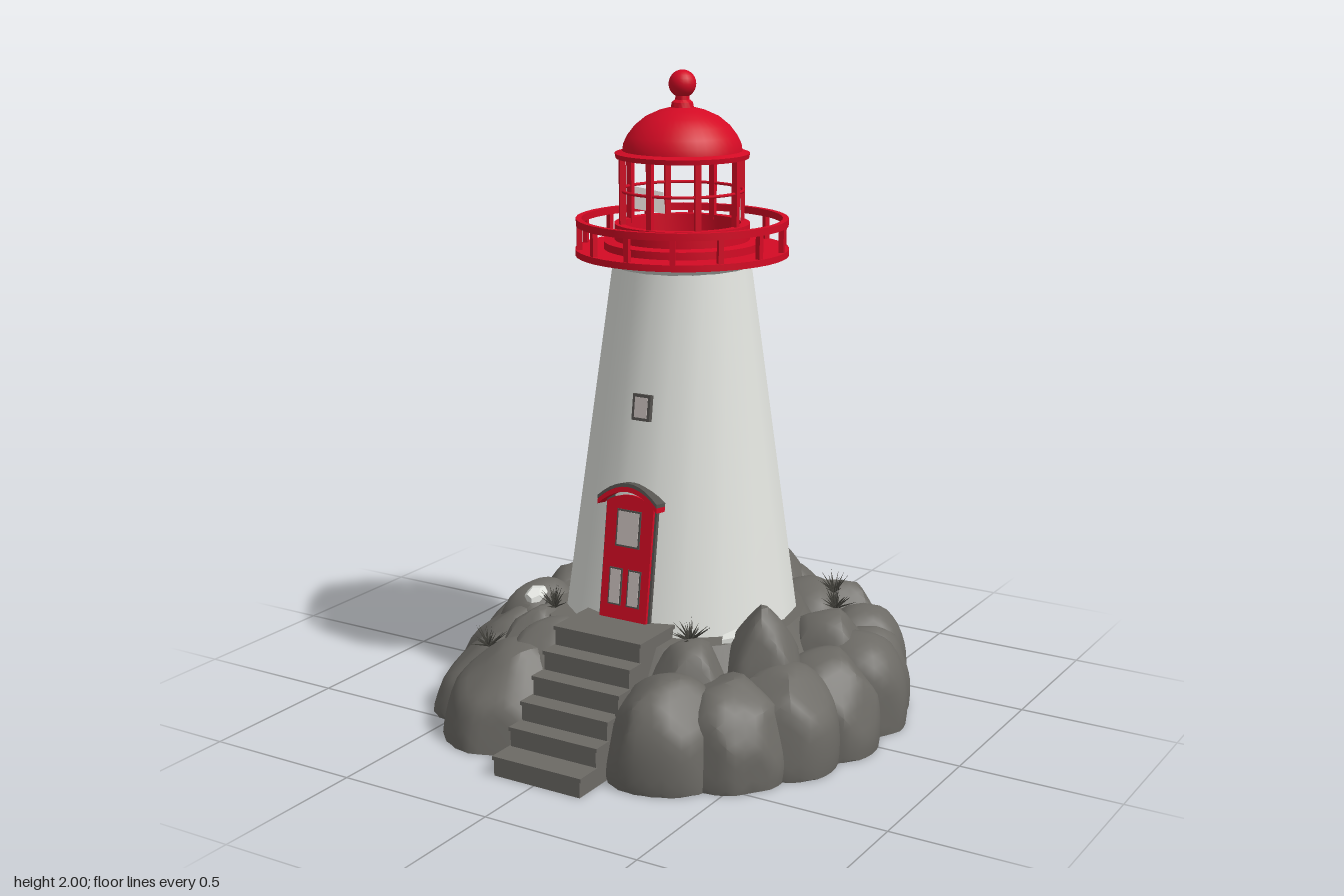
import * as THREE from 'three';
import { mergeGeometries, mergeVertices, toCreasedNormals } from 'three/addons/utils/BufferGeometryUtils.js';

const mat = (name, color, side = THREE.FrontSide) => {
  const m = new THREE.MeshStandardMaterial({ color, side });
  m.name = name;
  return m;
};

function seeded(seed) {
  let s = seed;
  return () => ((s = (s * 16807) % 2147483647) / 2147483647);
}

export function createModel() {
  const model = new THREE.Group();
  model.name = 'lighthouse';
  const white = mat('whitewash', 0xe2e4df);
  const red = mat('redPaint', 0xd40a24);
  const stone = mat('stone', 0x6c6a65);
  const ceilingGrey = mat('ceilingGrey', 0xa5a39e);
  const frameGrey = mat('frameGrey', 0x55534f);
  const pane = mat('paleGlass', 0xc9c0bd, THREE.DoubleSide);
  const grass = mat('dryGrass', 0x43423c, THREE.DoubleSide);

  const add = (parent, name, geo, material, x = 0, y = 0, z = 0) => {
    const mesh = new THREE.Mesh(geo, material);
    mesh.name = name;
    mesh.position.set(x, y, z);
    parent.add(mesh);
    return mesh;
  };
  const lathe = (pts, seg = 36) =>
    toCreasedNormals(new THREE.LatheGeometry(pts.map(p => new THREE.Vector2(p[0], p[1])), seg), 0.6);

  // Chiselled boulder: rounded blob cut by random planes, flattened at the ground
  const rand = seeded(4211);
  function boulder(x, z, r, top, base = 0.06) {
    let g = new THREE.IcosahedronGeometry(1, 6);
    g.deleteAttribute('uv');
    g.deleteAttribute('normal');
    g = mergeVertices(g);
    const cuts = Array.from({ length: 9 }, () =>
      new THREE.Vector3(rand() * 2 - 1, rand() * 1.2 - 0.1, rand() * 2 - 1).normalize());
    const p = g.attributes.position, v = new THREE.Vector3();
    const turn = rand() * 6;
    // Outer rocks on the -x side lean inward as they rise
    const lean = Math.hypot(x, z) > 0.46 ? Math.max(0, -x) : 0;
    for (let i = 0; i < p.count; i++) {
      v.fromBufferAttribute(p, i);
      const h = Math.hypot(v.x, v.z);
      v.divideScalar(Math.pow(h ** 2.4 + Math.abs(v.y) ** 2.4, 1 / 2.4));
      v.multiplyScalar(1 + 0.03 * Math.sin(4 * v.x + turn) * Math.cos(3 * v.z + turn));
      for (const n of cuts) {
        const over = v.dot(n) - 0.93;
        if (over > 0) v.addScaledVector(n, -over * 0.85);
      }
      const y = Math.max(0, base + v.y * (top - base));
      const pull = 1 - lean * y;
      p.setXYZ(i, (x + v.x * r) * pull, y, (z + v.z * r) * pull);
    }
    return toCreasedNormals(g, 0.6);
  }

  // Rocky island: [x, z, radius, top]
  const island = new THREE.Group();
  island.name = 'island';
  model.add(island);
  add(island, 'rockCore', new THREE.CylinderGeometry(0.41, 0.6, 0.32, 28), stone, 0, 0.16, -0.03);
  const rocks = [
    [-0.12, -0.61, 0.16, 0.30], [0.11, -0.61, 0.16, 0.29], [-0.34, -0.52, 0.17, 0.30],
    [0.33, -0.52, 0.17, 0.31], [0.46, -0.43, 0.16, 0.27], [-0.40, -0.39, 0.16, 0.28],
    [-0.57, -0.18, 0.165, 0.28], [-0.575, 0.02, 0.175, 0.29], [-0.51, 0.20, 0.18, 0.30],
    [-0.47, 0.36, 0.165, 0.24], [-0.30, 0.49, 0.19, 0.29], [-0.20, 0.36, 0.16, 0.345],
    [0.28, 0.49, 0.18, 0.30], [0.43, 0.38, 0.18, 0.29], [0.52, 0.22, 0.18, 0.29],
    [0.575, 0.04, 0.17, 0.29], [0.575, -0.16, 0.17, 0.29], [0.55, -0.28, 0.15, 0.27],
    [0.06, -0.53, 0.17, 0.39], [-0.28, -0.39, 0.18, 0.36], [0.28, -0.40, 0.17, 0.335],
    [-0.43, -0.12, 0.17, 0.345], [-0.42, 0.10, 0.16, 0.355], [0.47, -0.17, 0.16, 0.35],
    [0.42, 0.15, 0.135, 0.44], [0.26, 0.32, 0.15, 0.35], [-0.33, 0.27, 0.14, 0.335],
  ];
  rocks.forEach(r => add(island, 'boulder', boulder(...r), stone));
  // Pale stones tucked beside the tower
  [[0.33, 0.15, 0.325, -0.25], [-0.4, 0.17, 0.335, 0.4]].forEach(([x, z, y, a]) => {
    const s = add(island, 'paleStone', toCreasedNormals(new THREE.DodecahedronGeometry(0.05), 0.2), white, x, y, z);
    s.scale.set(0.7, 0.4, 1.5);
    s.rotation.y = a;
  });

  // Grass tufts of thin blades
  function tuft(size) {
    const blades = [];
    for (let i = 0; i < 26; i++) {
      const len = size * (0.65 + rand() * 0.5);
      blades.push(new THREE.ConeGeometry(0.0045, len, 3, 1, true).translate(0, len / 2, 0)
        .rotateZ(0.1 + rand() * 1.25).rotateY(i * 2.4));
    }
    return mergeGeometries(blades);
  }
  [[-0.55, 0.14, -0.37], [0.39, 0.32, -0.38], [0.45, 0.31, -0.27], [-0.28, 0.335, 0.24],
    [-0.43, 0.225, 0.39], [0.25, 0.345, 0.30]].forEach(([x, y, z]) =>
    add(island, 'grassTuft', tuft(0.07), grass, x, y, z));

  // Stone stairs: a landing and five steps
  const stairs = new THREE.Group();
  stairs.name = 'stairs';
  model.add(stairs);
  const edges = [0.25, 0.44, 0.5, 0.56, 0.62, 0.68, 0.765];
  for (let i = 0; i < 6; i++) {
    const h = 0.36 - i * 0.06, d = edges[i + 1] - edges[i];
    add(stairs, 'step', new THREE.BoxGeometry(0.3, h, d), stone, 0.01, h / 2, edges[i] + d / 2);
    add(stairs, 'tread', new THREE.BoxGeometry(0.31, 0.012, d + 0.006), stone, 0.01, h - 0.005, edges[i] + d / 2);
  }

  // Tapered tower
  const tower = new THREE.Group();
  tower.name = 'tower';
  tower.position.z = -0.07;
  model.add(tower);
  const wall = new THREE.CylinderGeometry(0.216, 0.374, 1.12, 18, 1, false, Math.PI / 18);
  add(tower, 'towerWall', toCreasedNormals(wall, 0.6), white, 0, 0.86, 0).scale.z = 0.975;
  add(tower, 'corbel', lathe([[0.2, 1.4], [0.22, 1.41], [0.305, 1.437], [0.32, 1.442]]), white);

  // Gallery deck with railing
  add(tower, 'galleryDeck', lathe([[0.3, 1.437], [0.328, 1.437], [0.328, 1.457], [0.24, 1.457], [0.24, 1.48],
    [0.208, 1.485], [0.208, 1.535], [0.18, 1.535], [0.18, 1.48], [0.0001, 1.48]], 48), red);
  add(tower, 'handrail', lathe([[0.308, 1.528], [0.326, 1.528], [0.326, 1.55], [0.308, 1.55], [0.308, 1.528]], 48), red);
  const ringOf = (name, count, radius, y, height, w) => {
    for (let i = 0; i < count; i++) {
      const a = (i / count) * Math.PI * 2;
      const post = add(tower, name, new THREE.BoxGeometry(w, height, w), red,
        Math.sin(a) * radius, y + height / 2, Math.cos(a) * radius);
      post.rotation.y = a;
    }
  };
  ringOf('railPost', 14, 0.316, 1.45, 0.09, 0.016);

  // Open lantern room
  ringOf('lanternPost', 8, 0.187, 1.52, 0.22, 0.018);
  const bar = add(tower, 'lanternBar', new THREE.TorusGeometry(0.187, 0.005, 6, 40), red, 0, 1.635, 0);
  bar.rotation.x = Math.PI / 2;
  // Broken panes left in the lantern
  for (const s of [-1, 1]) {
    const shard = new THREE.Shape([new THREE.Vector2(-0.065 * s, 0.03), new THREE.Vector2(-0.065 * s, 0.1),
      new THREE.Vector2(0.055 * s, 0.07), new THREE.Vector2(0.065 * s, 0)]);
    const a = s * 2.5 * Math.PI / 4;
    add(tower, 'brokenPane', new THREE.ShapeGeometry(shard), pane,
      Math.sin(a) * 0.173, 1.533, Math.cos(a) * 0.173).rotation.y = a;
  }

  // Dome, ceiling and finial
  add(tower, 'dome', lathe([[0.175, 1.733], [0.203, 1.733], [0.206, 1.748], [0.183, 1.755], [0.18, 1.775],
    [0.168, 1.8], [0.145, 1.83], [0.112, 1.857], [0.07, 1.876], [0.035, 1.885], [0.032, 1.9],
    [0.022, 1.908], [0.02, 1.93]], 40), red);
  add(tower, 'ceiling', new THREE.CircleGeometry(0.185, 32), ceilingGrey, 0, 1.736, 0).rotation.x = Math.PI / 2;
  add(tower, 'finialBall', new THREE.SphereGeometry(0.042, 20, 14), red, 0, 1.955, 0);

  // Door leaning with the wall
  const lean = -Math.atan(0.154 / 1.12);
  const archShape = (w, h, rise) => {
    const s = new THREE.Shape();
    s.moveTo(-w, 0);
    s.lineTo(w, 0);
    s.lineTo(w, h);
    s.quadraticCurveTo(0, h + rise * 2, -w, h);
    return s;
  };
  const extrude = (shape, depth) => new THREE.ExtrudeGeometry(shape, { depth, bevelEnabled: false, curveSegments: 10 });
  const door = new THREE.Group();
  door.name = 'door';
  door.position.set(0.005, 0.355, 0.282);
  door.rotation.x = lean;
  model.add(door);
  add(door, 'doorFrame', extrude(archShape(0.09, 0.37, 0.03), 0.025), frameGrey, 0, 0, -0.025);
  add(door, 'doorLeaf', extrude(archShape(0.083, 0.365, 0.025), 0.035), red, 0, 0, -0.025);
  add(door, 'doorWindow', new THREE.BoxGeometry(0.085, 0.115, 0.006), frameGrey, 0, 0.287, 0.01);
  add(door, 'doorGlass', new THREE.BoxGeometry(0.073, 0.103, 0.008), pane, 0, 0.287, 0.011);
  for (const s of [-1, 1]) {
    add(door, 'doorPanelTrim', new THREE.BoxGeometry(0.046, 0.115, 0.006), frameGrey, s * 0.033, 0.105, 0.01);
    add(door, 'doorPanel', new THREE.BoxGeometry(0.036, 0.105, 0.008), pane, s * 0.033, 0.105, 0.011);
  }
  // Curved hood over the door: red arch under a grey cap
  const archBand = (low, thick) => {
    const s = new THREE.Shape();
    s.moveTo(-0.105, low);
    s.quadraticCurveTo(0, low + 0.1, 0.105, low);
    s.lineTo(0.105, low + thick);
    s.quadraticCurveTo(0, low + thick + 0.1, -0.105, low + thick);
    return s;
  };
  add(door, 'hoodArch', extrude(archBand(0.352, 0.016), 0.06), red, 0, 0, -0.03);
  add(door, 'hoodCap', extrude(archBand(0.368, 0.011), 0.062), frameGrey, 0, 0, -0.03);

  // Small window above the door
  const win = new THREE.Group();
  win.name = 'towerWindow';
  win.position.set(0.022, 1.01, 0.197);
  win.rotation.x = lean;
  model.add(win);
  add(win, 'windowFrame', new THREE.BoxGeometry(0.062, 0.08, 0.02), frameGrey);
  add(win, 'windowGlass', new THREE.BoxGeometry(0.044, 0.062, 0.008), pane, 0, 0, 0.008);

  return model;
}
